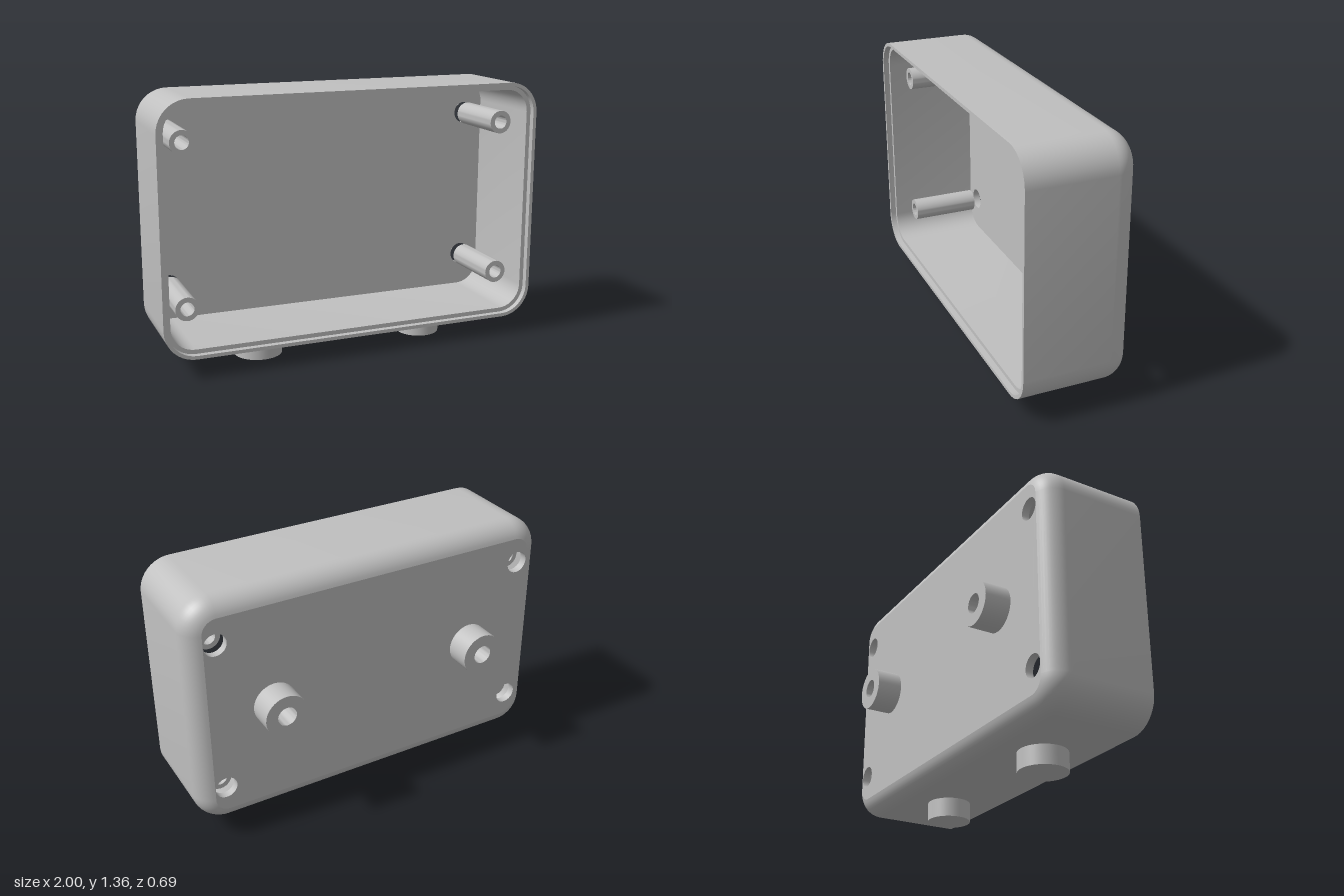
import * as THREE from 'three';
import { toCreasedNormals } from 'three/addons/utils/BufferGeometryUtils.js';

const HALF_W = 1, HALF_H = 0.63, MID_Y = 0.73, CORNER = 0.16;
const BACK = -0.21, FLOOR = -0.17, FRONT = 0.345, FILLET = 0.11, WALL = 0.04;
const SCREW_X = 0.855, SCREW_Y = 0.41, SCREW_R = 0.058;

// Rounded rectangle, counter-clockwise, shrunk by an inset
function outline(inset) {
  const r = CORNER - inset, steps = 10, pts = [];
  [[1, 1], [-1, 1], [-1, -1], [1, -1]].forEach(([sx, sy], q) => {
    for (let i = 0; i <= steps; i++) {
      const a = (q + i / steps) * Math.PI / 2;
      pts.push(new THREE.Vector2(
        sx * (HALF_W - CORNER) + r * Math.cos(a),
        sy * (HALF_H - CORNER) + r * Math.sin(a)));
    }
  });
  return pts;
}

// Skin through rounded rectangles given as [inset, z]
function loft(profile) {
  const pos = [], index = [], n = outline(0).length;
  profile.forEach(([inset, z]) => outline(inset).forEach(p => pos.push(p.x, p.y, z)));
  for (let p = 0; p < profile.length - 1; p++) {
    for (let k = 0; k < n; k++) {
      const a = p * n + k, b = p * n + (k + 1) % n;
      index.push(a, b, a + n, b, b + n, a + n);
    }
  }
  const g = new THREE.BufferGeometry();
  g.setAttribute('position', new THREE.Float32BufferAttribute(pos, 3));
  g.setIndex(index);
  return toCreasedNormals(g, Math.PI / 6);
}

// Flat panel with the four screw holes
function panel(inset) {
  const shape = new THREE.Shape(outline(inset));
  for (const sx of [-1, 1]) for (const sy of [-1, 1]) {
    shape.holes.push(new THREE.Path().absarc(sx * SCREW_X, sy * SCREW_Y, SCREW_R, 0, Math.PI * 2, true));
  }
  return new THREE.ShapeGeometry(shape, 24);
}

// Hollow sleeve along z
function sleeve(outer, inner, z0, z1) {
  const corners = [[inner, z0], [outer, z0], [outer, z1], [inner, z1], [inner, z0]];
  const g = new THREE.LatheGeometry(corners.map(c => new THREE.Vector2(...c)), 40);
  g.rotateX(Math.PI / 2);
  return toCreasedNormals(g, Math.PI / 6);
}

export function createModel() {
  const grey = new THREE.MeshStandardMaterial({ color: 0xc0c0c0, side: THREE.DoubleSide });
  grey.name = 'grey plastic';
  const model = new THREE.Group();
  model.name = 'enclosure';
  const add = (name, geometry, x = 0, y = MID_Y, z = 0) => {
    const mesh = new THREE.Mesh(geometry, grey);
    mesh.name = name;
    mesh.position.set(x, y, z);
    model.add(mesh);
    return mesh;
  };

  // Shell: back fillet, outer wall, stepped rim, inner wall
  const profile = [], edgeInset = 0.085;
  const sweep = Math.acos(1 - edgeInset / FILLET);
  const filletZ = BACK + FILLET * Math.sin(sweep);
  for (let i = 10; i >= 0; i--) {
    const a = sweep * i / 10;
    profile.push([FILLET * (1 - Math.cos(a)), filletZ - FILLET * Math.sin(a)]);
  }
  profile.push([0, FRONT], [0.018, FRONT], [0.018, FRONT - 0.03], [WALL, FRONT - 0.03], [WALL, FLOOR]);
  add('shell', loft(profile));
  add('innerFloor', panel(WALL), 0, MID_Y, FLOOR);
  add('backPanel', panel(edgeInset), 0, MID_Y, BACK).rotation.y = Math.PI;

  // Screw holes through the back, with hollow posts set just ahead of them
  const bore = new THREE.CylinderGeometry(SCREW_R, SCREW_R, FLOOR - BACK, 40, 1, true).rotateX(Math.PI / 2);
  const post = sleeve(0.06, 0.035, -0.13, 0.233);
  for (const sx of [-1, 1]) for (const sy of [-1, 1]) {
    const x = sx * SCREW_X, y = MID_Y + sy * SCREW_Y;
    add('screwHole', bore, x, y, (FLOOR + BACK) / 2);
    add('screwPost', post, x, y);
  }

  // Hollow bosses on the back
  const boss = sleeve(0.113, 0.05, -0.345, BACK);
  for (const sx of [-1, 1]) add('backBoss', boss, sx * 0.57);

  // Solid plugs underneath
  for (const [x, r] of [[-0.46, 0.125], [0.453, 0.113]]) {
    add('bottomPlug', new THREE.CylinderGeometry(r, r, 0.11, 40), x, 0.055, 0.1);
  }
  return model;
}
